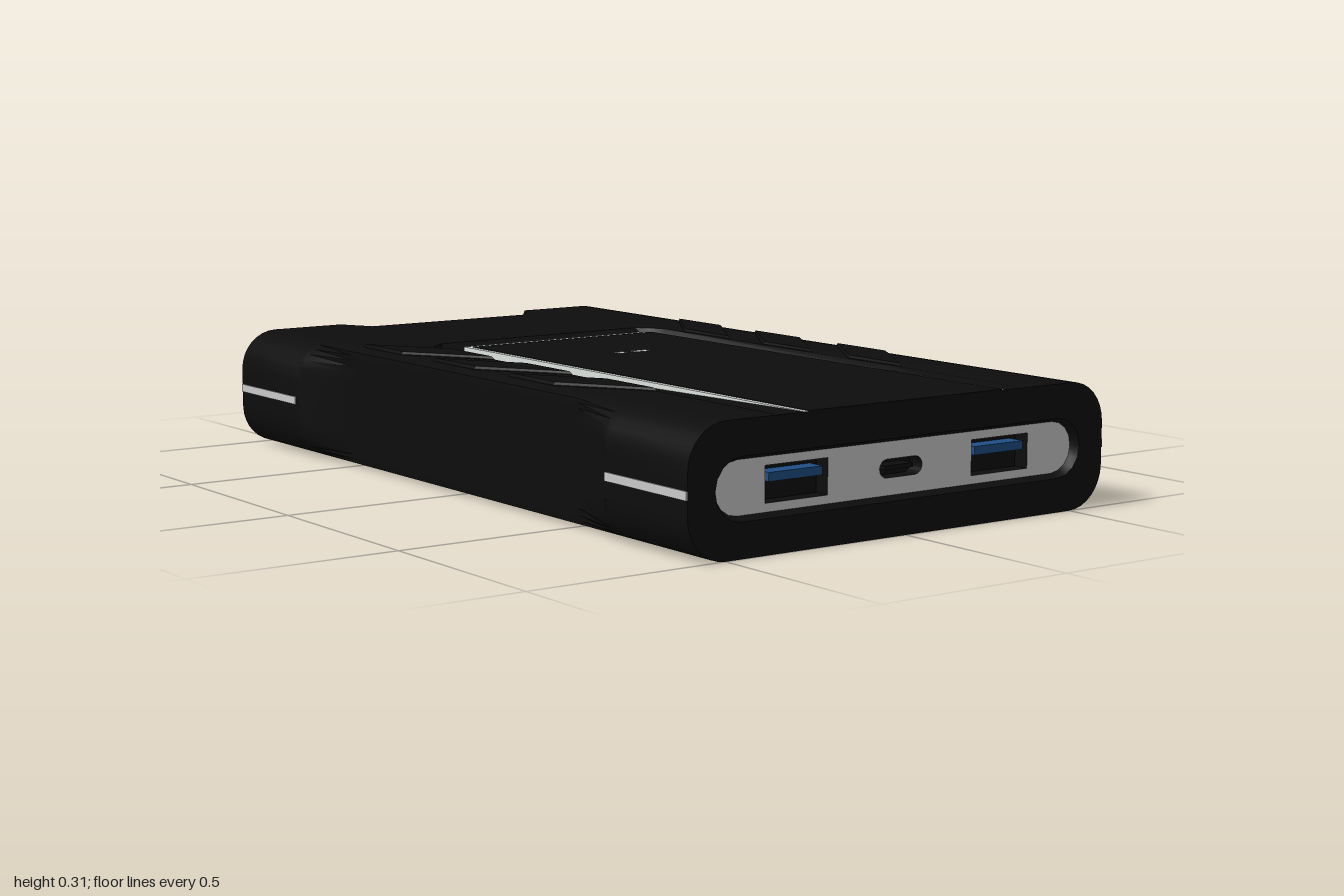
import * as THREE from 'three';
import { mergeGeometries, toCreasedNormals } from 'three/addons/utils/BufferGeometryUtils.js';

const material = (name, color) => Object.assign(new THREE.MeshStandardMaterial({ color }), { name });
const TOP = 0.3, CORNER = 0.1, MID = 0.15;

// Piecewise linear lookup in a list of [z, value] pairs
function lookup(pairs, z) {
  for (let i = 1; i < pairs.length; i++) {
    const [z0, a] = pairs[i - 1], [z1, b] = pairs[i];
    if (z <= z1) return a + (b - a) * (z - z0) / (z1 - z0);
  }
  return pairs[pairs.length - 1][1];
}

// Skin closed rings of [x, y, z]
function loft(rings) {
  const n = rings[0].length, index = [];
  for (let i = 0; i < rings.length - 1; i++) {
    for (let j = 0; j < n; j++) {
      const k = (j + 1) % n;
      const a = i * n + j, b = i * n + k, c = a + n, d = b + n;
      index.push(a, b, d, a, d, c);
    }
  }
  const g = new THREE.BufferGeometry();
  g.setAttribute('position', new THREE.Float32BufferAttribute(rings.flat(2), 3));
  g.setIndex(index);
  return toCreasedNormals(g, 0.5);
}

// Stadium outline, anticlockwise
function pill(hw, hh, cy = MID, steps = 8) {
  const pts = [];
  for (const side of [1, -1]) {
    for (let i = 0; i <= steps; i++) {
      const a = -Math.PI / 2 + Math.PI * i / steps;
      pts.push(new THREE.Vector2(side * (hw - hh + hh * Math.cos(a)), cy + side * hh * Math.sin(a)));
    }
  }
  return pts;
}

// Half width of the waisted sides, edge and depth of the sunken areas on top
const WAIST = [[-1, 0.6], [-0.7, 0.6], [-0.68, 0.59], [-0.51, 0.54], [0.51, 0.54], [0.68, 0.59], [0.7, 0.6], [1, 0.6]];
const EDGE = [[-1, 0.3], [-0.92, 0.255], [-0.91, 0.25], [-0.47, 0.31], [-0.44, 0.34], [-0.4, 0.36], [1, 0.36]];
const DEPTH = [[-1, 0.04], [-0.92, 0.04], [-0.91, 0], [-0.47, 0], [-0.44, 0.025], [-0.4, 0.03], [1, 0]];

function bodyRing(z) {
  const w = lookup(WAIST, z), e = lookup(EDGE, z), d = lookup(DEPTH, z);
  const half = [];
  for (const [cy, start] of [[CORNER, -Math.PI / 2], [TOP - CORNER, 0]]) {
    for (let i = 0; i <= 8; i++) {
      const a = start + Math.PI / 2 * i / 8;
      half.push([Math.min(w, 0.5 + CORNER * Math.cos(a)), cy + CORNER * Math.sin(a), z]);
    }
  }
  half.push([e, TOP, z], [e - 0.015, TOP - d, z]);
  return [...half, ...half.map(([x, y]) => [-x, y, z]).reverse()];
}

export function createModel() {
  const black = material('black casing', 0x0d0d0d);
  const grey = material('light grey', 0xcacaca);
  const trim = material('pale trim', 0xdde2de);
  const blue = material('port blue', 0x1f4f86);
  const model = new THREE.Group();

  const add = (name, geometry, mat, parent = model) => {
    const mesh = new THREE.Mesh(geometry, mat);
    mesh.name = name;
    parent.add(mesh);
    return mesh;
  };
  const box = (name, mat, [x0, x1], [y0, y1], [z0, z1], parent) =>
    add(name, new THREE.BoxGeometry(x1 - x0, y1 - y0, z1 - z0), mat, parent)
      .position.set((x0 + x1) / 2, (y0 + y1) / 2, (z0 + z1) / 2);

  // Casing
  const stations = [...new Set([...WAIST, ...EDGE].map(p => p[0]))].sort((a, b) => a - b);
  add('casing', loft(stations.map(bodyRing)), black);

  // Ends: rim with opening, sloped bezel, recessed plate
  for (const [name, end] of [['front', 1], ['back', -1]]) {
    const group = new THREE.Group();
    group.name = name + 'End';
    if (end < 0) group.rotation.y = Math.PI;
    model.add(group);

    const rim = new THREE.Shape(bodyRing(end).map(([x, y]) => new THREE.Vector2(x, y)));
    rim.holes.push(new THREE.Path(pill(0.528, 0.07)));
    add(name + 'Rim', new THREE.ShapeGeometry(rim).translate(0, 0, 1), black, group);

    const ring = (hw, hh, z) => pill(hw, hh).map(p => [p.x, p.y, z]);
    add(name + 'Bezel', loft([ring(0.528, 0.07, 1), ring(0.516, 0.06, 0.98)]), black, group);

    const plate = new THREE.Shape(pill(0.518, 0.061));
    if (end > 0) {
      // Openings for two wide ports and one small oval port
      for (const x of [-0.295, 0.295]) {
        plate.holes.push(new THREE.Path([[-1, -1], [1, -1], [1, 1], [-1, 1]]
          .map(([u, v]) => new THREE.Vector2(x + u * 0.086, MID + v * 0.041))));
        box('portTongue', blue, [x - 0.074, x + 0.074], [0.154, 0.174], [0.93, 0.978], group);
      }
      plate.holes.push(new THREE.Path(pill(0.062, 0.021)));
      box('portBacking', black, [-0.42, 0.42], [0.1, 0.2], [0.92, 0.935], group);
      box('smallPortTongue', black, [-0.04, 0.04], [0.145, 0.155], [0.93, 0.975], group);
    }
    const slab = new THREE.ExtrudeGeometry(plate, { depth: 0.04, bevelEnabled: false });
    add(name + 'Plate', slab.translate(0, 0, 0.941), [grey, black], group);
  }

  // Top panel with pale trim around three sides
  box('panelTrim', trim, [-0.29, 0.29], [0.26, 0.3005], [-0.376, 0.999]);
  box('panelCover', black, [-0.277, 0.282], [0.27, 0.302], [-0.354, 0.9995]);
  for (const [x, w] of [[-0.04, 0.012], [0.02, 0.022]]) {
    box('indicatorLight', trim, [x - w, x + w], [0.3, 0.303], [-0.047, -0.025]);
  }

  // Slanted grip ribs and side stripes, mirrored
  for (const s of [1, -1]) {
    const ribs = [-0.53, -0.19, 0.15].map(z => {
      const outline = [[0.495, z + 0.015], [0.495, z + 0.2], [0.365, z + 0.405], [0.365, z + 0.22]];
      const shape = new THREE.Shape(outline.map(([x, y]) => new THREE.Vector2(s * x, y)));
      return new THREE.ExtrudeGeometry(shape, {
        depth: 0.02, bevelEnabled: true, bevelSize: 0.006, bevelThickness: 0.006, bevelSegments: 1,
      }).rotateX(Math.PI / 2).translate(0, 0.302, 0);
    });
    add(s > 0 ? 'leftGripRibs' : 'rightGripRibs', mergeGeometries(ribs), black);
    for (const z of [-0.85, 0.85]) {
      const x = s * 0.6;
      box('sideStripe', grey, [x - 0.003, x + 0.003], [MID - 0.01, MID + 0.01], [z - 0.149, z + 0.149]);
    }
  }
  return model;
}
